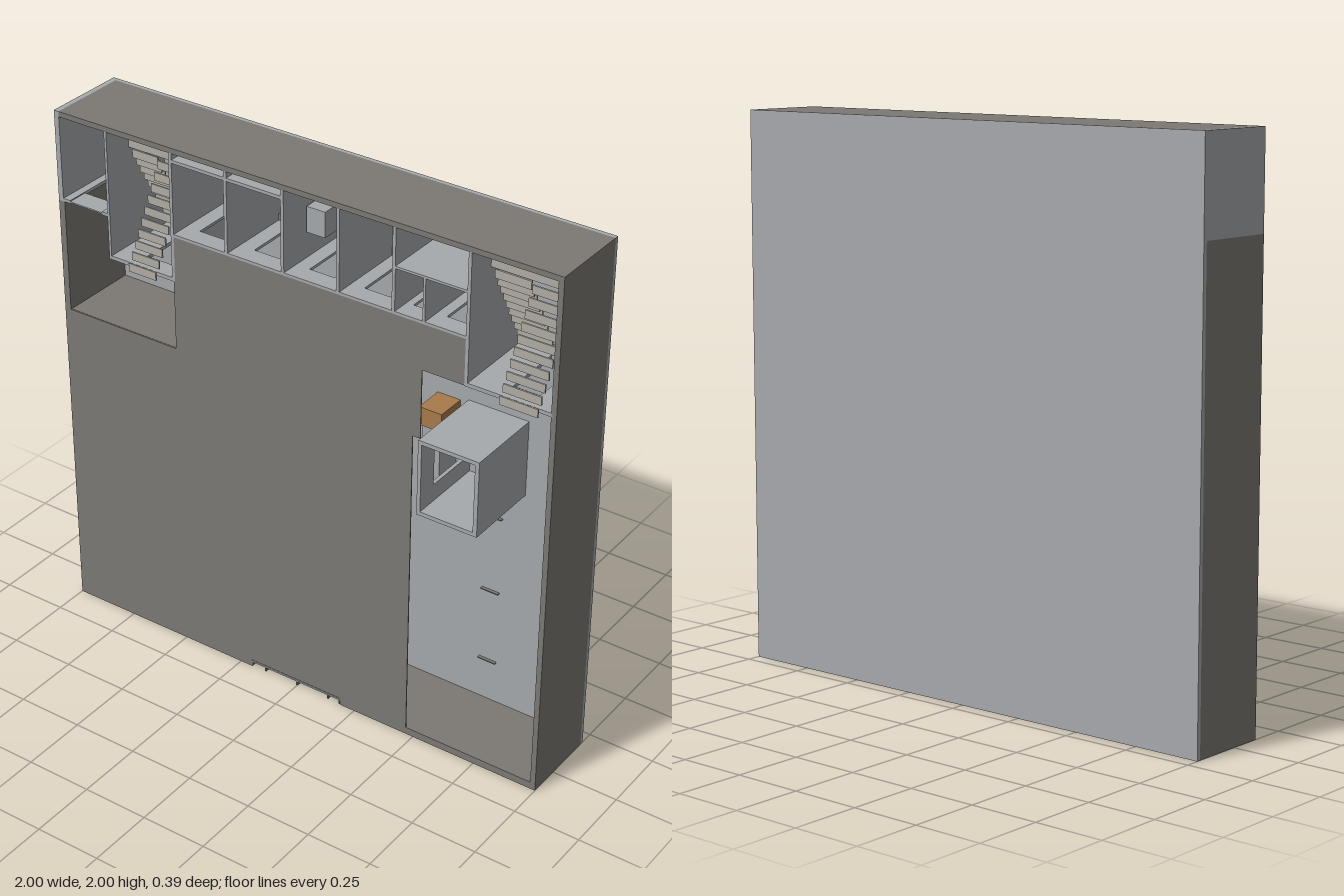
import * as THREE from 'three';

const mat = (color) => new THREE.MeshStandardMaterial({ color });
const DARK = mat(0x7c7974), FLOOR = mat(0xa6a9ac), LIGHT = mat(0xb0ada6), WHITE = mat(0xe6e6e6), ORANGE = mat(0xa87a4c);
const Z0 = -0.185, Z1 = 0.12; // storey floor and wall top

export function createModel() {
  const root = new THREE.Group();
  // Box given by its limits on each axis
  const box = (name, x0, x1, y0, y1, z0, z1, m, parent = root) => {
    const mesh = new THREE.Mesh(new THREE.BoxGeometry(x1 - x0, y1 - y0, z1 - z0), m);
    mesh.position.set((x0 + x1) / 2, (y0 + y1) / 2, (z0 + z1) / 2);
    mesh.name = name;
    parent.add(mesh);
    return mesh;
  };
  const wall = (name, x0, x1, y0, y1, m = FLOOR) => box(name, x0, x1, y0, y1, Z0, Z1, m);

  box('floorSlab', -1, 1, 0, 2, -0.2, Z0, FLOOR);

  // Outer walls, with the entrance gap in the lower one
  wall('leftOuterWall', -1, -0.975, 0, 1.66, DARK);
  wall('leftOuterWallUpper', -1, -0.98, 1.66, 2);
  wall('rightOuterWall', 0.98, 1, 0, 2, DARK);
  wall('upperOuterWall', -0.98, 0.98, 1.98, 2, DARK);
  wall('entranceWallLeft', -0.975, -0.2, 0, 0.028, DARK);
  wall('entranceWallRight', 0.19, 0.98, 0, 0.028, DARK);

  // Entrance screen: glazing set back between upright fins
  box('entranceGlazing', -0.2, 0.19, 0.018, 0.024, Z0, Z1, FLOOR);
  for (const x of [-0.2, -0.14, 0, 0.135, 0.185])
    box('entranceFin', x - 0.003, x + 0.003, 0.002, 0.024, Z0, Z1, DARK);
  box('entranceSill', -0.2, 0.19, 0.002, 0.024, Z0, Z0 + 0.008, WHITE);

  // Ceiling over the hall, stepped around the open areas
  const outline = [[-0.975, 0.028], [0.47, 0.028], [0.47, 1.24], [0.5, 1.24], [0.5, 1.5], [0.66, 1.5],
    [0.66, 1.67], [-0.505, 1.67], [-0.505, 1.235], [-0.975, 1.235]];
  const ceiling = new THREE.Mesh(new THREE.ExtrudeGeometry(
    new THREE.Shape(outline.map(([x, y]) => new THREE.Vector2(x, y))), { depth: 0.004, bevelEnabled: false }), DARK);
  ceiling.position.z = Z1 - 0.004;
  ceiling.name = 'hallCeiling';
  root.add(ceiling);
  box('lobbyWall', -0.975, -0.505, 1.222, 1.235, Z0, Z1 - 0.005, DARK);

  // Row of rooms along the upper wall
  for (const x of [-0.28, -0.05, 0.17, 0.385])
    wall('roomDivider', x - 0.006, x + 0.006, 1.67, 1.98);
  wall('ductWall', -0.5, -0.056, 1.945, 1.957);
  wall('closetDivider', 0.497, 0.506, 1.67, 1.84);
  wall('closetWall', 0.391, 0.66, 1.835, 1.844);
  for (const [a, b] of [[-0.5, -0.286], [-0.274, -0.056], [-0.044, 0.164], [0.176, 0.379], [0.391, 0.497], [0.506, 0.66]]) {
    // Front wall of each room, with a doorway in the middle
    const c = (a + b) / 2, h = Math.min(0.05, (b - a) / 4);
    wall('roomFrontWall', a, c - h, 1.67, 1.68);
    wall('roomFrontWall', c + h, b, 1.67, 1.68);
    box('doorLintel', c - h, c + h, 1.67, 1.68, 0.05, Z1, FLOOR);
  }
  wall('cornerRoomWall', -0.98, -0.95, 1.66, 1.672);
  wall('cornerRoomWall', -0.81, -0.785, 1.66, 1.672);
  box('cornerRoomLintel', -0.95, -0.81, 1.663, 1.668, 0.04, Z1, FLOOR);

  // Washroom fittings and furniture
  for (const x of [-0.42, -0.2]) {
    const basin = new THREE.Mesh(new THREE.CylinderGeometry(0.02, 0.014, 0.03, 20), WHITE);
    basin.rotation.x = Math.PI / 2;
    basin.position.set(x, 1.895, -0.09);
    basin.name = 'washBasin';
    root.add(basin);
    box('basinPedestal', x - 0.007, x + 0.007, 1.888, 1.902, Z0, -0.1, WHITE);
    box('bench', x - 0.04, x + 0.04, 1.71, 1.736, Z0, -0.12, DARK);
  }
  box('cabinet', -0.038, 0.036, 1.78, 1.875, Z0, 0, FLOOR);
  box('table', 0.22, 0.33, 1.785, 1.925, Z0, -0.12, FLOOR);
  box('closetShelf', 0.4, 0.48, 1.695, 1.79, Z0, -0.08, FLOOR);

  // Stairwells: walls and a two-flight stair that climbs past the wall top
  const stairwell = (name, xa, xb) => {
    const g = new THREE.Group();
    g.name = name;
    root.add(g);
    const mid = (xa + xb) / 2, n = 10, y0 = 1.53, run = 0.035, rise = 0.019;
    for (let i = 0; i < n; i++) {
      const z = Z0 + (i + 1) * rise, y = y0 + i * run;
      box('lowerTread', xa + 0.015, mid - 0.008, y, y + 0.031, z - 0.006, z, LIGHT, g);
      const zu = Z0 + (n + i + 1) * rise, yu = y0 + (n - 1 - i) * run;
      box('upperTread', mid + 0.006, xb - 0.01, yu, yu + 0.031, zu - 0.006, zu, LIGHT, g);
    }
    box('landing', xa, xb, y0 + n * run, 1.98, Z0 + n * rise - 0.01, Z0 + n * rise, LIGHT, g);
    // Stairwell front wall with a doorway
    const c = mid + 0.02;
    box('stairFrontWall', xa, c - 0.05, 1.498, 1.512, Z0, Z1, FLOOR, g);
    box('stairFrontWall', c + 0.05, xb, 1.498, 1.512, Z0, Z1, FLOOR, g);
    box('stairDoorLintel', c - 0.05, c + 0.05, 1.498, 1.512, 0.05, Z1, FLOOR, g);
  };
  stairwell('leftStair', -0.775, -0.512);
  stairwell('rightStair', 0.672, 0.985);
  wall('stairSideWall', -0.785, -0.775, 1.498, 1.98);
  wall('stairSideWall', -0.512, -0.5, 1.498, 1.98);
  wall('stairSideWall', 0.66, 0.672, 1.498, 1.98);

  // Free-standing booth, open at the top, with a doorway toward the hall
  wall('boothSideRight', 0.712, 0.728, 0.94, 1.232);
  wall('boothWallLower', 0.492, 0.712, 0.94, 0.955);
  wall('boothWallUpper', 0.492, 0.712, 1.217, 1.232);
  wall('boothSideLeft', 0.492, 0.506, 0.955, 1.02);
  wall('boothSideLeft', 0.492, 0.506, 1.15, 1.217);
  box('boothLintel', 0.492, 0.506, 1.02, 1.15, 0.04, Z1, FLOOR);

  // Counter beside the booth and thin floor panels
  box('counter', 0.38, 0.45, 0.93, 1.15, Z0, -0.08, FLOOR);
  box('counterTop', 0.37, 0.46, 1.15, 1.22, Z0, -0.07, ORANGE);
  for (const y of [0.2, 0.5, 0.81])
    box('floorPanel', 0.575, 0.645, y - 0.002, y + 0.002, Z0, Z0 + 0.012, DARK);
  return root;
}
